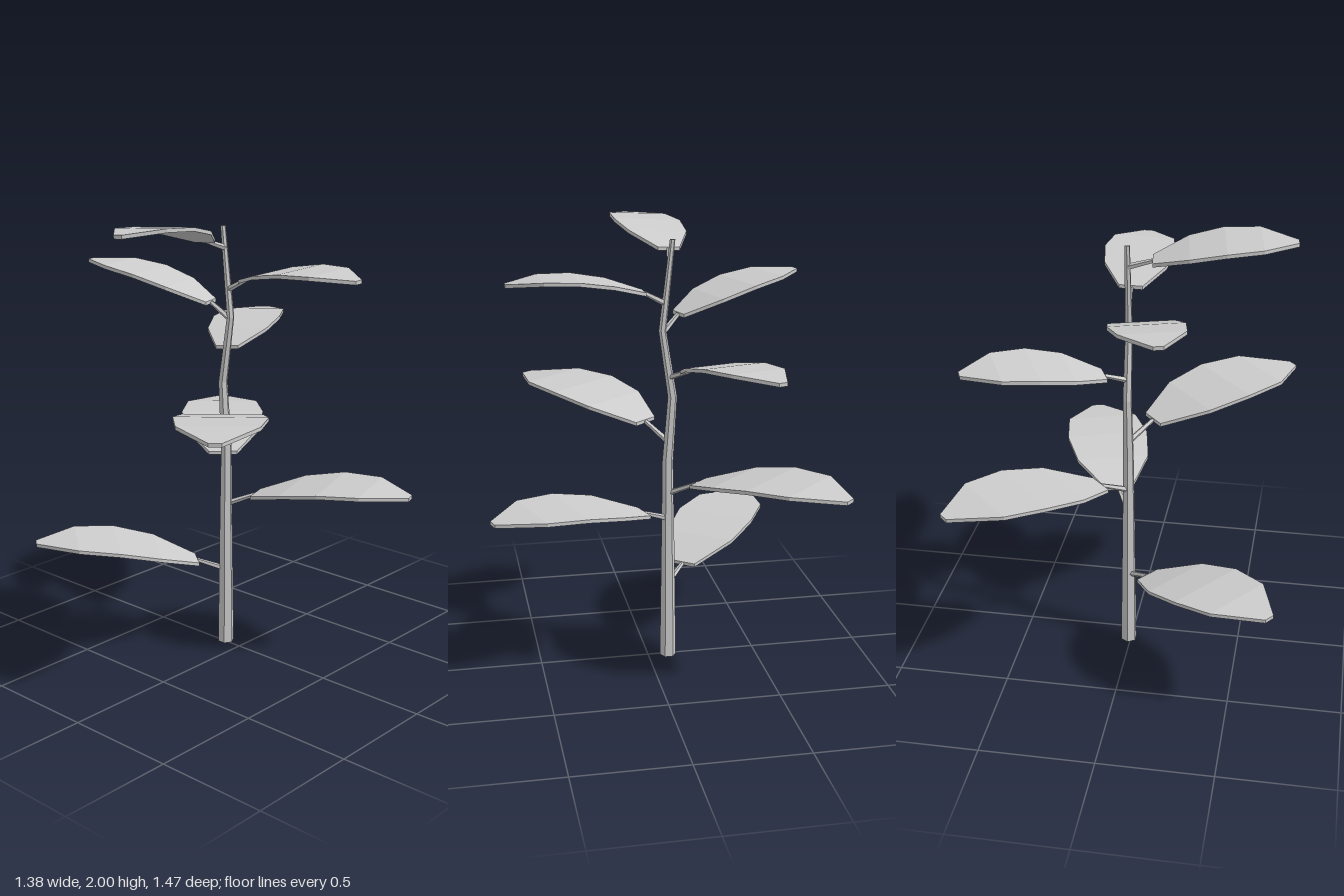
import * as THREE from 'three';

const material = new THREE.MeshStandardMaterial({ color: 0xcccccc, flatShading: true });

// Stem rings from the ground up: y, x, z, radius
const STEM = [
  [0, 0.01, -0.093, 0.038],
  [0.65, 0.01, -0.09, 0.029],
  [0.95, 0.011, -0.088, 0.025],
  [1.25, 0.012, -0.108, 0.021],
  [1.55, 0.012, -0.062, 0.017],
  [1.945, 0.012, -0.105, 0.012],
];

// Leaves: height on the stem, blade base, blade tip, roll
const LEAVES = [
  [0.36, [-0.09, 0.41, -0.18], [-0.672, 0.54, -0.625], 0],
  [0.68, [0.075, 0.735, 0.03], [0.305, 0.812, 0.72], 0],
  [0.8, [0.115, 0.875, -0.205], [0.672, 0.95, -0.722], 0],
  [1.04, [-0.085, 1.115, -0.005], [-0.668, 1.215, 0.475], 0],
  [1.34, [0.1, 1.385, -0.165], [0.66, 1.458, -0.425], -0.05],
  [1.54, [-0.03, 1.612, -0.14], [-0.21, 1.76, -0.715], 0],
  [1.67, [0.018, 1.72, 0.02], [0.033, 1.773, 0.617], 0.03],
  [1.85, [-0.095, 1.888, -0.11], [-0.683, 1.968, -0.027], 0.06],
];

// Half widths of a blade from base to tip, as a share of its length
const WIDTHS = [0.085, 0.228, 0.262, 0.226, 0.035];
const THICKNESS = 0.016;

function named(geometry, name) {
  const mesh = new THREE.Mesh(geometry, material);
  mesh.name = name;
  return mesh;
}

// Centre of the stem at a given height
function stemPoint(y) {
  let i = 0;
  while (i < STEM.length - 2 && y > STEM[i + 1][0]) i++;
  const [a, b] = [STEM[i], STEM[i + 1]];
  const t = (y - a[0]) / (b[0] - a[0]);
  return new THREE.Vector3(a[1] + (b[1] - a[1]) * t, y, a[2] + (b[2] - a[2]) * t);
}

// Six-sided tapering stem with gentle bends
function makeStem() {
  const segments = STEM.length - 1;
  const geometry = new THREE.CylinderGeometry(1, 1, 1, 6, segments);
  const p = geometry.attributes.position;
  for (let i = 0; i < p.count; i++) {
    const [y, x, z, r] = STEM[Math.round((p.getY(i) + 0.5) * segments)];
    p.setXYZ(i, x + p.getX(i) * r, y, z + p.getZ(i) * r);
  }
  geometry.computeVertexNormals();
  return named(geometry, 'stem');
}

// Thin stalk joining the stem to a blade
function makeStalk(from, to) {
  const dir = to.clone().sub(from);
  const geometry = new THREE.CylinderGeometry(0.01, 0.014, dir.length(), 5);
  const mesh = named(geometry, 'leafStalk');
  mesh.position.copy(from).addScaledVector(dir, 0.5);
  mesh.quaternion.setFromUnitVectors(new THREE.Vector3(0, 1, 0), dir.normalize());
  return mesh;
}

// Arched blade: a segmented slab whose sections follow the width list
function makeBlade(base, tip, roll) {
  const flat = new THREE.Vector3(tip.x - base.x, 0, tip.z - base.z);
  const length = flat.length();
  flat.normalize();
  const side = new THREE.Vector3(flat.z, roll, -flat.x);
  const geometry = new THREE.BoxGeometry(2, 1, 1, 1, 1, WIDTHS.length - 1);
  const p = geometry.attributes.position;
  for (let i = 0; i < p.count; i++) {
    const t = p.getZ(i) + 0.5;
    const width = WIDTHS[Math.round(t * (WIDTHS.length - 1))] * length;
    const v = base.clone().lerp(tip, t).addScaledVector(side, p.getX(i) * width);
    v.y += 0.28 * length * t * (1 - t) + p.getY(i) * THICKNESS;
    p.setXYZ(i, v.x, v.y, v.z);
  }
  geometry.computeVertexNormals();
  return named(geometry, 'leafBlade');
}

export function createModel() {
  const plant = new THREE.Group();
  plant.name = 'plant';
  plant.add(makeStem());
  for (const [height, b, t, roll] of LEAVES) {
    const base = new THREE.Vector3(...b);
    const leaf = new THREE.Group();
    leaf.name = 'leaf';
    leaf.add(makeStalk(stemPoint(height), base), makeBlade(base, new THREE.Vector3(...t), roll));
    plant.add(leaf);
  }
  return plant;
}
